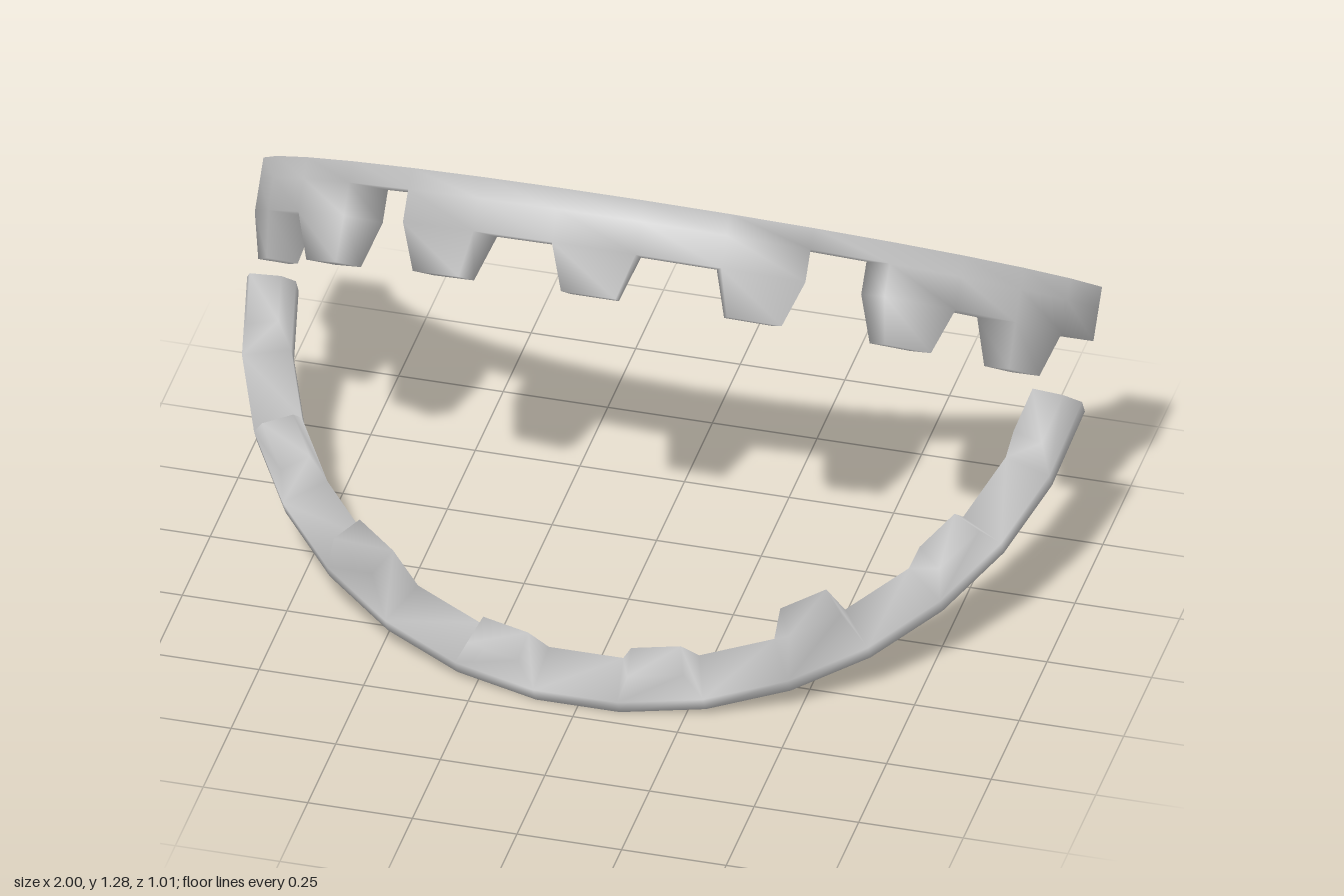
import * as THREE from 'three';
import { mergeVertices } from 'three/addons/utils/BufferGeometryUtils.js';

const SEGMENTS = 15;
const STEP = THREE.MathUtils.degToRad(11.5);
const OUTER = 1, INNER = 0.885, TIP_SCALE = 0.65;

// Four corners of one arch segment at height h: outer, outer, inner, inner
function ring(k, h) {
  return [[k, OUTER], [k + 1, OUTER], [k + 1, INNER], [k, INNER]].map(([i, r]) => {
    const a = (i - SEGMENTS / 2) * STEP;
    return new THREE.Vector3(r * Math.sin(a), h, r * Math.cos(a));
  });
}

// Shrinks a ring about its own centre and lifts it to height h
function taper(corners, h) {
  const c = new THREE.Vector3();
  corners.forEach((p) => c.addScaledVector(p, 0.25));
  return corners.map((p) => p.clone().sub(c).multiplyScalar(TIP_SCALE).add(c).setY(h));
}

// gum(n) gives the gum thickness and tooth(n) the tooth tip height (0 = none),
// n being the number of segments from the middle; dir is the way the teeth point
function buildJaw(name, dir, gum, tooth) {
  const pos = [];
  const parts = [];
  const quad = (a, b, c, d) => {
    const order = dir > 0 ? [a, b, c, a, c, d] : [a, c, b, a, d, c];
    order.forEach((p) => pos.push(p.x, p.y * dir, p.z));
  };
  const part = (partName, build) => {
    const start = pos.length;
    build();
    parts.push({ name: partName, start, end: pos.length });
  };
  const off = (k) => Math.abs(k - (SEGMENTS - 1) / 2);
  const gumAt = (k) => (k < 0 || k >= SEGMENTS ? 0 : gum(off(k)));

  // Gum arch, stacked in one or two layers
  part(name + 'Gum', () => {
    for (let k = 0; k < SEGMENTS; k++) {
      const top = gumAt(k);
      const levels = top > 0.05 ? [0, 0.05, top] : [0, top];
      for (let l = 0; l + 1 < levels.length; l++) {
        const b = ring(k, levels[l]), t = ring(k, levels[l + 1]);
        for (let j = 0; j < 4; j++) {
          const neighbour = j === 1 ? k + 1 : k - 1;
          if (j % 2 && gumAt(neighbour) > levels[l]) continue;
          const n = (j + 1) % 4;
          quad(b[j], b[n], t[n], t[j]);
        }
      }
      const b = ring(k, 0), t = ring(k, top);
      quad(b[3], b[2], b[1], b[0]);
      if (!tooth(off(k))) quad(t[0], t[1], t[2], t[3]);
    }
  });

  // Tapered teeth
  for (let k = 0; k < SEGMENTS; k++) {
    const tip = tooth(off(k));
    if (!tip) continue;
    part(name + 'Tooth', () => {
      const b = ring(k, gumAt(k)), t = taper(b, tip);
      for (let j = 0; j < 4; j++) quad(b[j], b[(j + 1) % 4], t[(j + 1) % 4], t[j]);
      quad(t[0], t[1], t[2], t[3]);
    });
  }

  // Smooth normals run across the whole jaw, then it is split into its parts
  let whole = new THREE.BufferGeometry();
  whole.setAttribute('position', new THREE.Float32BufferAttribute(pos, 3));
  whole = mergeVertices(whole, 1e-4);
  whole.computeVertexNormals();
  whole = whole.toNonIndexed();

  const material = new THREE.MeshStandardMaterial({ color: 0xcccccc });
  const jaw = new THREE.Group();
  jaw.name = name + 'Jaw';
  for (const p of parts) {
    const g = new THREE.BufferGeometry();
    for (const key of ['position', 'normal']) {
      const data = whole.attributes[key].array.slice(p.start, p.end);
      g.setAttribute(key, new THREE.BufferAttribute(data, 3));
    }
    const mesh = new THREE.Mesh(g, material);
    mesh.name = p.name;
    jaw.add(mesh);
  }
  return jaw;
}

export function createModel() {
  const model = new THREE.Group();
  model.name = 'jaws';

  // Upper jaw: seven equal teeth, with a notch in the gum for each long lower tooth
  const upper = buildJaw('upper', -1,
    (n) => (n === 3 ? 0.05 : 0.127),
    (n) => (n % 2 === 0 ? 0.235 : 0));
  upper.position.set(0, 0.678, -0.553);
  upper.rotation.x = THREE.MathUtils.degToRad(-37.6);

  // Lower jaw: eight teeth set between the upper ones, one long on each side
  const lower = buildJaw('lower', 1,
    () => 0.05,
    (n) => (n % 2 === 0 ? 0 : n === 3 ? 0.22 : 0.141));
  lower.position.set(0, 0.504, -0.404);
  lower.rotation.x = THREE.MathUtils.degToRad(30.4);

  model.add(upper, lower);
  return model;
}
